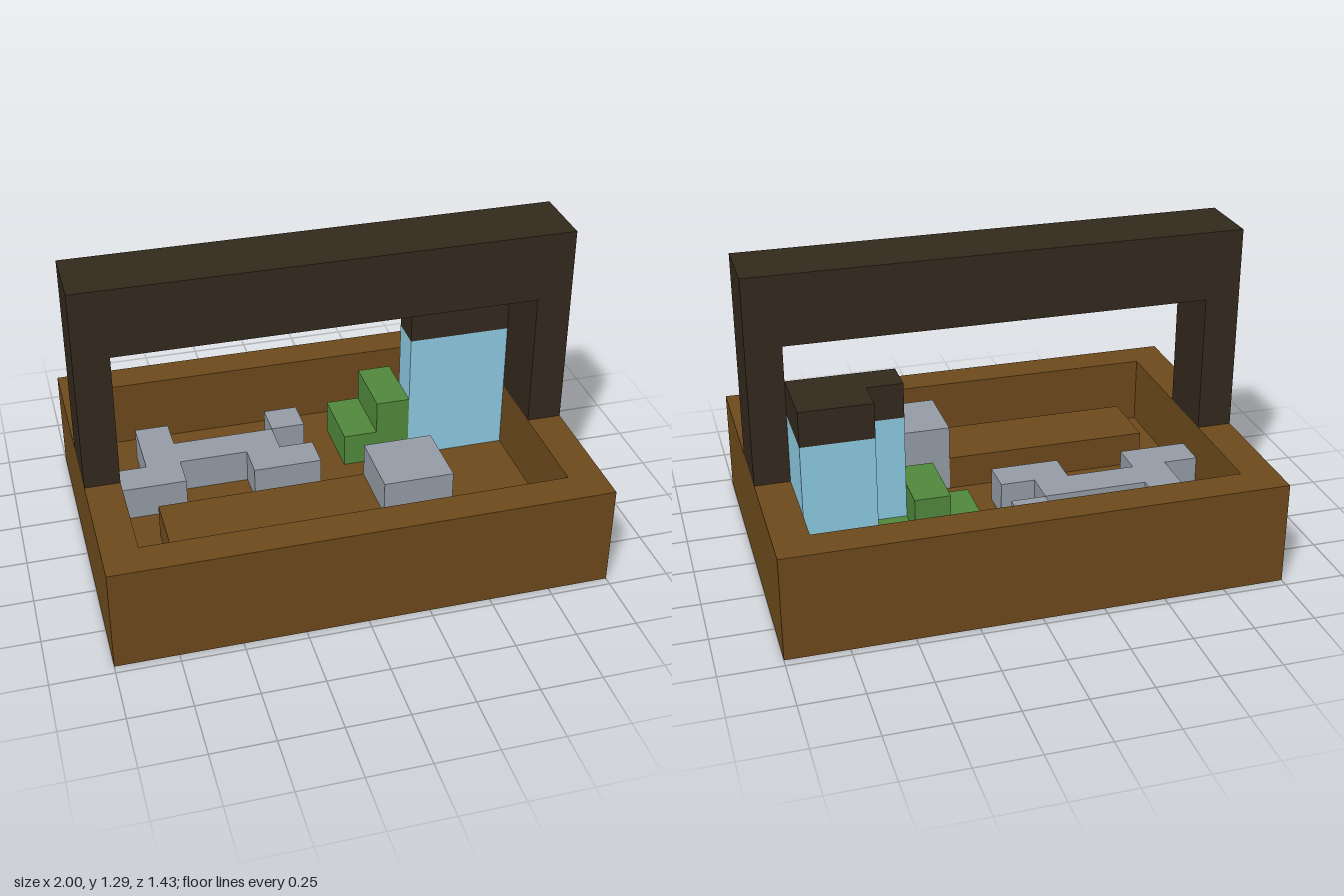
import * as THREE from 'three';

const U = 1 / 7; // edge of one grid block

const material = (name, color) => {
  const m = new THREE.MeshStandardMaterial({ color });
  m.name = name;
  return m;
};

export function createModel() {
  const wood = material('brown wood', 0x6d4a1c);
  const dark = material('dark wood', 0x33291d);
  const stone = material('grey stone', 0x959ca5);
  const leaf = material('leaf green', 0x51893c);
  const glass = material('pale blue', 0x8dcae2);

  const group = new THREE.Group();
  group.name = 'basket';

  const toShape = (pts, Type) => new Type(pts.map(([a, b]) => new THREE.Vector2(a * U, b * U)));
  const add = (name, geometry, mat) => {
    const mesh = new THREE.Mesh(geometry, mat);
    mesh.name = name;
    group.add(mesh);
  };

  // Upright prism from a plan outline of [x, z] corners, between two heights
  const prism = (name, mat, plan, y0, y1, hole) => {
    const flip = (pts) => pts.map(([x, z]) => [x, -z]);
    const shape = toShape(flip(plan), THREE.Shape);
    if (hole) shape.holes.push(toShape(flip(hole), THREE.Path));
    const g = new THREE.ExtrudeGeometry(shape, { depth: (y1 - y0) * U, bevelEnabled: false });
    g.rotateX(-Math.PI / 2).translate(0, y0 * U, 0);
    add(name, g, mat);
  };
  // Counter-clockwise once flipped, so that walls of holes face inwards
  const rect = (x0, x1, z0, z1) => [[x0, z0], [x0, z1], [x1, z1], [x1, z0]];

  // Tray: floor, surrounding wall and a low step inside
  prism('trayFloor', wood, rect(-7, 7, -5, 5), 0, 1);
  prism('trayWall', wood, rect(-7, 7, -5, 5), 1, 3, rect(-6, 6, -4, 4));
  prism('innerStep', wood, rect(-5, 1, 1, 3), 1, 2);

  // Handle: a square arch spanning the tray
  const arch = toShape([[-7, 3], [-6, 3], [-6, 7], [6, 7], [6, 3], [7, 3], [7, 9], [-7, 9]], THREE.Shape);
  const handle = new THREE.ExtrudeGeometry(arch, { depth: 2 * U, bevelEnabled: false });
  add('handle', handle.translate(0, 0, -U), dark);

  // Bottle with an L-shaped plan and a dark cap
  const bottle = [[4, -3], [6, -3], [6, -1], [3, -1], [3, -2], [4, -2]];
  prism('bottle', glass, bottle, 1, 5);
  prism('bottleCap', dark, bottle, 5, 6);

  // Greens, stepped in height
  prism('greenLow', leaf, rect(1, 2, -3, -1), 1, 2);
  prism('greenTall', leaf, rect(2, 3, -3, -1), 1, 3);
  prism('greenSide', leaf, rect(3, 4, -3, -2), 1, 2);

  // Grey cutlery and block
  prism('greyTool', stone, [
    [-5, -3], [-4, -3], [-4, -2], [-1, -2], [-1, -1], [0, -1], [0, 0],
    [-2, 0], [-2, -1], [-4, -1], [-4, 0], [-6, 0], [-6, -1], [-5, -1],
  ], 1, 2);
  prism('greyToolTip', stone, rect(-1, 0, -3, -2), 1, 2);
  prism('greyBlock', stone, rect(1, 3, 1, 3), 1, 3);

  return group;
}
